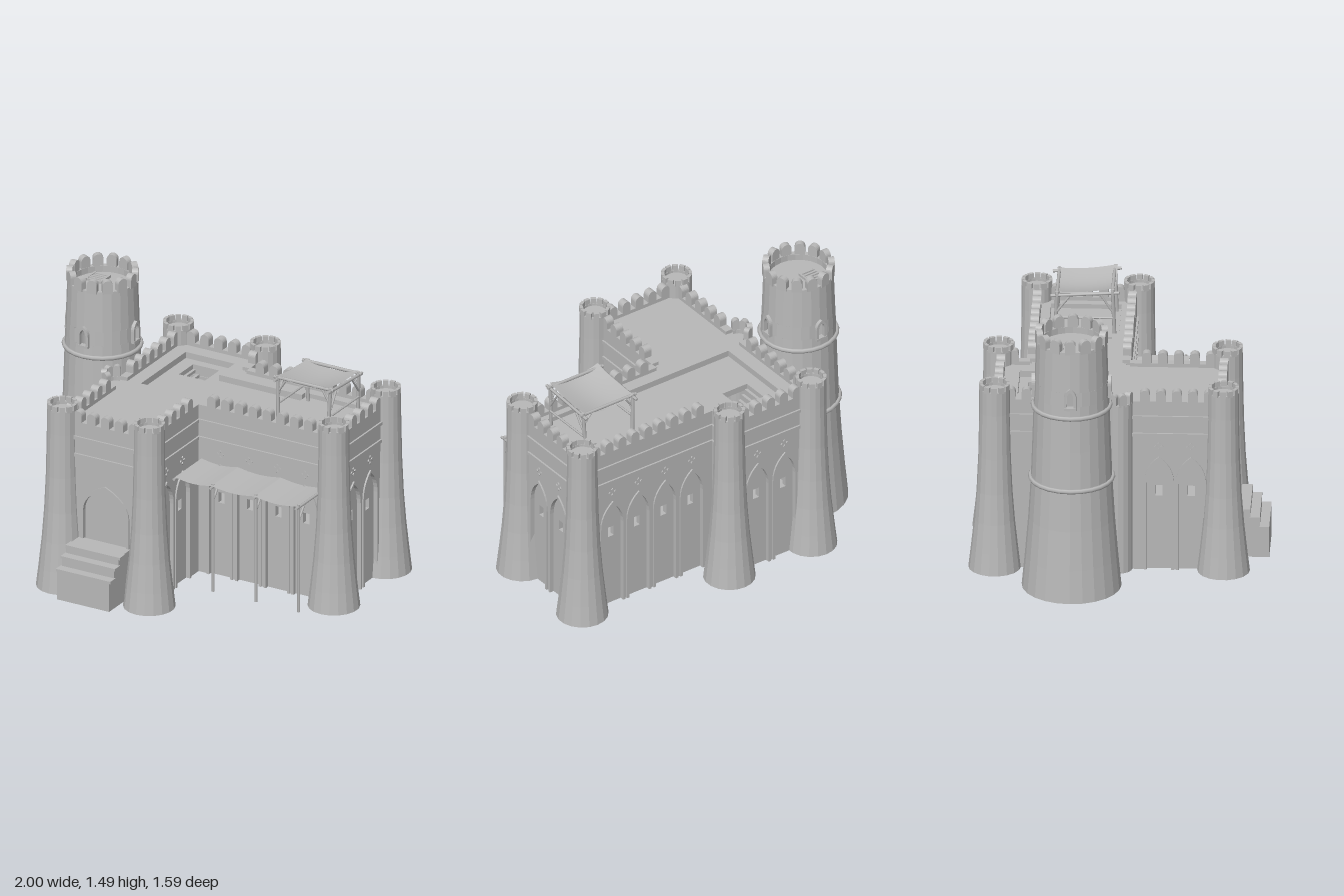
import * as THREE from 'three';

const stone = new THREE.MeshStandardMaterial({ color: 0xb8b8b8, side: THREE.DoubleSide });
stone.name = 'stone grey';

const V = (x, y, z) => new THREE.Vector3(x, y, z);

function add(parent, name, geo, x = 0, y = 0, z = 0) {
  const m = new THREE.Mesh(geo, stone);
  m.name = name;
  m.position.set(x, y, z);
  parent.add(m);
  return m;
}
function group(parent, name, x = 0, y = 0, z = 0, turn = 0) {
  const g = new THREE.Group();
  g.name = name;
  g.position.set(x, y, z);
  g.rotation.y = turn;
  parent.add(g);
  return g;
}
const box = (w, h, d) => new THREE.BoxGeometry(w, h, d);
const extrude = (shape, depth) => new THREE.ExtrudeGeometry(shape, { depth, bevelEnabled: false, curveSegments: 6 });
function flat(geo) {
  const g = geo.toNonIndexed();
  g.computeVertexNormals();
  return g;
}
const lathe = (pts, n, start = 0, len = Math.PI * 2) =>
  flat(new THREE.LatheGeometry(pts.map(p => new THREE.Vector2(...p)), n, start, len));
function beam(parent, name, a, b, r = 0.008) {
  const m = add(parent, name, new THREE.CylinderGeometry(r, r, a.distanceTo(b), 6));
  m.position.copy(a).lerp(b, 0.5);
  m.quaternion.setFromUnitVectors(V(0, 1, 0), b.clone().sub(a).normalize());
}

// Pointed arch outline; a negative width runs it from right to left
function archPath(p, u, w, y0, spring, apex) {
  const k = spring + (apex - spring) * 0.62;
  p.lineTo(u - w / 2, y0);
  p.lineTo(u - w / 2, spring);
  p.quadraticCurveTo(u - w / 2, k, u, apex);
  p.quadraticCurveTo(u + w / 2, k, u + w / 2, spring);
  p.lineTo(u + w / 2, y0);
}
function archRib(u, w, y0, spring, apex, t, depth) {
  const s = new THREE.Shape();
  s.moveTo(u - w / 2, y0);
  archPath(s, u, w, y0, spring, apex);
  archPath(s, u, -(w - 2 * t), y0, spring, apex - t * 1.2);
  return extrude(s, depth);
}
function merlon(w, h, depth) {
  const s = new THREE.Shape();
  s.moveTo(-w / 2, -0.01);
  s.lineTo(w / 2, -0.01);
  s.lineTo(w / 2, h - w / 2);
  s.absarc(0, h - w / 2, w / 2, 0, Math.PI);
  return extrude(s, depth);
}
// Flat slab from [x, z] corners, with an optional hole
function slab(pts, h, hole) {
  const toV = p => new THREE.Vector2(p[0], -p[1]);
  const s = new THREE.Shape(pts.map(toV));
  if (hole) s.holes.push(new THREE.Path(hole.map(toV)));
  return extrude(s, h).rotateX(-Math.PI / 2);
}

// Wall facing local +z with blind arches, windows, bands and battlements
function wall(parent, name, x, z, len, turn, arches = [], door = false) {
  const g = group(parent, name, x, 0, z, turn);
  const us = [...arches].sort((a, b) => a - b), e = len / 2;
  const w = door ? 0.27 : 0.135, spring = door ? 0.47 : 0.5, apex = door ? 0.62 : 0.64;
  const core = new THREE.Shape([[-e, 0], [e, 0], [e, 0.78], [-e, 0.78]].map(p => new THREE.Vector2(...p)));
  if (!door) for (const u of us) core.holes.push(new THREE.Path(
    [[-1, 0.42], [1, 0.42], [1, 0.48], [-1, 0.48]].map(([s, y]) => new THREE.Vector2(u + s * 0.019, y))));
  add(g, 'wallCore', extrude(core, 0.03), 0, 0, -0.045);
  const face = new THREE.Shape();
  face.moveTo(-e, 0);
  for (const u of us) archPath(face, u, w, 0, spring, apex);
  face.lineTo(e, 0);
  face.lineTo(e, 0.78);
  face.lineTo(-e, 0.78);
  add(g, 'wallFace', extrude(face, 0.015), 0, 0, -0.015);
  for (const u of us) {
    add(g, 'archMoulding', archRib(u, w + 0.025, door ? 0.3 : 0, spring, apex + 0.013, 0.015, 0.024), 0, 0, -0.015);
    // Four-piece cross ornament
    if (!door) for (let i = 0; i < 4; i++) {
      const a = i * Math.PI / 2;
      add(g, 'crossOrnament', box(0.012, 0.012, 0.012), u + Math.cos(a) * 0.017, 0.71 + Math.sin(a) * 0.017, 0)
        .rotation.z = Math.PI / 4;
    }
  }
  add(g, 'parapet', box(len, 0.2, 0.045), 0, 0.87, -0.0225);
  for (const y of [0.78, 0.88]) add(g, 'band', box(len, 0.018, 0.06), 0, y, -0.02);
  const n = Math.max(1, Math.round((len - 0.1) / 0.085));
  for (let i = 0; i < n; i++)
    add(g, 'merlon', merlon(0.052, 0.062, 0.045), (i - (n - 1) / 2) * 0.085, 0.97, -0.045);
}

function cornerTower(parent, x, z) {
  const g = group(parent, 'cornerTower', x, 0, z);
  add(g, 'towerBody', lathe([[0.14, 0], [0.126, 0.12], [0.109, 0.28], [0.096, 0.45], [0.087, 0.65],
    [0.082, 0.9], [0.082, 1.035], [0.064, 1.035], [0.064, 1.02], [0, 1.02]], 18));
  for (let i = 0; i < 12; i++) {
    const a = i * Math.PI / 6;
    add(g, 'towerMerlon', box(0.03, 0.035, 0.018), Math.sin(a) * 0.073, 1.045, Math.cos(a) * 0.073).rotation.y = a;
  }
}

function greatTower(parent) {
  const g = group(parent, 'greatTower', -0.735, 0, -0.24);
  add(g, 'lowerShaft', lathe([[0.265, 0], [0.248, 0.18], [0.23, 0.4], [0.216, 0.63], [0.208, 0.85], [0.202, 1.04], [0.199, 1.11]], 24));
  add(g, 'upperShaft', lathe([[0.196, 1.19], [0.188, 1.42], [0.158, 1.42], [0.158, 1.385], [0, 1.385]], 24));
  for (const [r, y] of [[0.219, 0.63], [0.205, 1.045]])
    add(g, 'ringMoulding', new THREE.TorusGeometry(r, 0.013, 6, 24).rotateX(Math.PI / 2), 0, y, 0);
  // Shaft between the four window openings
  const gap = 0.18;
  for (let i = 0; i < 4; i++) {
    const a = i * Math.PI / 2;
    add(g, 'windowLevel', lathe([[0.199, 1.11], [0.196, 1.19]], 6, a + gap / 2, Math.PI / 2 - gap));
    const w = group(g, 'towerWindow', Math.sin(a) * 0.188, 0, Math.cos(a) * 0.188, a);
    add(w, 'windowFrame', archRib(0, 0.066, 1.1, 1.165, 1.218, 0.015, 0.024));
    add(w, 'windowSill', box(0.066, 0.014, 0.03), 0, 1.103, 0.012);
  }
  for (let i = 0; i < 14; i++) {
    const a = (i + 0.5) * Math.PI / 7;
    add(g, 'greatMerlon', merlon(0.056, 0.066, 0.034), Math.sin(a) * 0.158, 1.42, Math.cos(a) * 0.158).rotation.y = a;
  }
  // Roof hatch with slats
  for (const s of [-1, 1]) add(g, 'hatchRail', box(0.01, 0.015, 0.1), -0.055 + s * 0.045, 1.392, -0.045);
  for (let i = 0; i < 5; i++) add(g, 'hatchSlat', box(0.09, 0.012, 0.012), -0.055, 1.392, -0.087 + i * 0.021);
}

// Cloth sheet that sags between its two side edges
function cloth(parent, name, x0, x1, z0, z1, sag, height) {
  const geo = new THREE.PlaneGeometry(x1 - x0, z1 - z0, 8, 6).rotateX(-Math.PI / 2);
  const p = geo.attributes.position;
  for (let i = 0; i < p.count; i++) {
    const u = p.getX(i) / (x1 - x0), v = p.getZ(i) / (z1 - z0);
    p.setY(i, height(v) - sag * Math.cos(u * Math.PI));
  }
  geo.computeVertexNormals();
  add(parent, name, geo, (x0 + x1) / 2, 0, (z0 + z1) / 2);
}

export function createModel() {
  const castle = new THREE.Group();
  castle.name = 'castle';
  const Q = Math.PI / 2;

  // Walls: the arches sit at offsets along each wall
  const wing = [0.155, 0.33, 0.505, 0.675].map(x => x - 0.44);
  wall(castle, 'frontWall', -0.2475, 0.565, 0.535, 0, [0.0025], true);
  wall(castle, 'courtWall', 0.022, 0.3, 0.52, Q, [-0.085, 0.085]);
  wall(castle, 'wingFrontWall', 0.44, 0.045, 0.84, 0, wing);
  wall(castle, 'wingEndWall', 0.875, -0.2175, 0.545, Q, [-0.0975, 0.0775]);
  wall(castle, 'wingBackWall', 0.44, -0.505, 0.84, Math.PI, wing.map(u => -u));
  wall(castle, 'backReturnWall', 0.022, -0.575, 0.17, Q);
  wall(castle, 'backWall', -0.2475, -0.665, 0.535, Math.PI, [-0.0875, 0.0875]);
  wall(castle, 'sideFrontWall', -0.522, 0.31, 0.5, -Q, [0.075, -0.095]);
  wall(castle, 'sideBackWall', -0.522, -0.36, 0.6, -Q);

  for (const [x, z] of [[-0.515, 0.557], [0.02, 0.557], [-0.515, -0.657], [0.02, -0.657], [0.86, 0.055], [0.86, -0.487]])
    cornerTower(castle, x, z);
  greatTower(castle);

  // Small half-round turret in the side wall
  const turret = group(castle, 'sideTurret', -0.515, 0, 0);
  add(turret, 'turretBody', lathe([[0.075, 0], [0.075, 0.948], [0, 0.948]], 16));
  add(turret, 'turretParapet', lathe([[0.077, 0.89], [0.077, 0.97], [0.045, 0.97], [0.045, 0.89]], 8, Math.PI, Math.PI));
  for (let i = 0; i < 4; i++) {
    const a = Math.PI * (1.125 + i * 0.25);
    add(turret, 'turretMerlon', merlon(0.04, 0.062, 0.03), Math.sin(a) * 0.045, 0.97, Math.cos(a) * 0.045).rotation.y = a;
  }

  // Inner floor at door height, sunken roof deck and the roof border around it
  const plan = [[-0.5, -0.64], [0, -0.64], [0, -0.48], [0.85, -0.48], [0.85, 0.02], [0, 0.02], [0, 0.54], [-0.5, 0.54]];
  const hatch = [[-0.325, -0.49], [-0.165, -0.49], [-0.165, -0.34], [-0.325, -0.34]];
  const sunk = [[-0.4, -0.54], [-0.1, -0.54], [-0.1, -0.375], [0.41, -0.375], [0.41, -0.41], [0.785, -0.41],
    [0.785, -0.035], [0.41, -0.035], [0.41, -0.07], [-0.4, -0.07]];
  add(castle, 'innerFloor', slab(plan, 0.02), 0, 0.28, 0);
  add(castle, 'roofDeck', slab(sunk, 0.035, hatch), 0, 0.88, 0);
  add(castle, 'roofBorder', slab(plan, 0.07, sunk), 0, 0.88, 0);
  for (let i = 0; i < 7; i++) add(castle, 'hatchStep', box(0.016, 0.016, 0.13), -0.312 + i * 0.022, 0.885 - i * 0.025, -0.415);

  // Entrance steps
  for (const [y, z] of [[0.205, 0.795], [0.26, 0.745], [0.305, 0.695]]) {
    add(castle, 'entranceStep', box(0.32, y - 0.03, z - 0.56), -0.2475, (y + 0.03) / 2, (z + 0.56) / 2);
    add(castle, 'stepTread', box(0.335, 0.014, 0.055), -0.2475, y - 0.006, z - 0.0275);
  }

  // Awning along the wing
  const awning = group(castle, 'awning');
  const xs = [0.04, 0.265, 0.528, 0.79];
  xs.forEach((x, i) => {
    if (i) {
      beam(awning, 'awningPost', V(x, 0.04, 0.305), V(x, 0.665, 0.305));
      beam(awning, 'awningBrace', V(x, 0.57, 0.305), V(x, 0.645, 0.245), 0.006);
      cloth(awning, 'awningCloth', xs[i - 1], x, 0.045, 0.325, 0.014, () => 0.66);
    }
    beam(awning, 'awningBeam', V(x, 0.649, 0.04), V(x, 0.649, 0.335));
  });

  // Canopy on the roof
  const canopy = group(castle, 'roofCanopy');
  add(canopy, 'canopyPlatform', box(0.37, 0.02, 0.37), 0.5975, 0.916, -0.2225);
  const top = z => 1.16 + (z + 0.22) * 0.06;
  for (const x of [0.44, 0.765]) {
    for (const z of [-0.07, -0.365]) {
      const s = Math.sign(z + 0.2), t = Math.sign(0.6 - x);
      beam(canopy, 'canopyPost', V(x + t * 0.01, 0.92, z + s * 0.01), V(x, top(z) + 0.02, z), 0.01);
      beam(canopy, 'canopyBrace', V(x, 1.06, z), V(x, top(z), z - s * 0.07), 0.006);
      beam(canopy, 'canopyBrace', V(x, 1.09, z), V(x + t * 0.05, top(z), z), 0.006);
    }
    beam(canopy, 'canopyRail', V(x, top(-0.4), -0.4), V(x, top(-0.035), -0.035), 0.009);
    beam(canopy, 'canopyLowRail', V(x, 1.025, -0.365), V(x, 1.025, -0.07), 0.006);
  }
  for (const z of [-0.07, -0.365]) beam(canopy, 'canopyCrossbar', V(0.42, top(z) + 0.01, z), V(0.785, top(z) + 0.01, z), 0.009);
  cloth(canopy, 'canopyCloth', 0.445, 0.76, -0.375, -0.055, 0.028, v => 1.172 + v * 0.025 + 0.05 * v * v);

  return castle;
}
